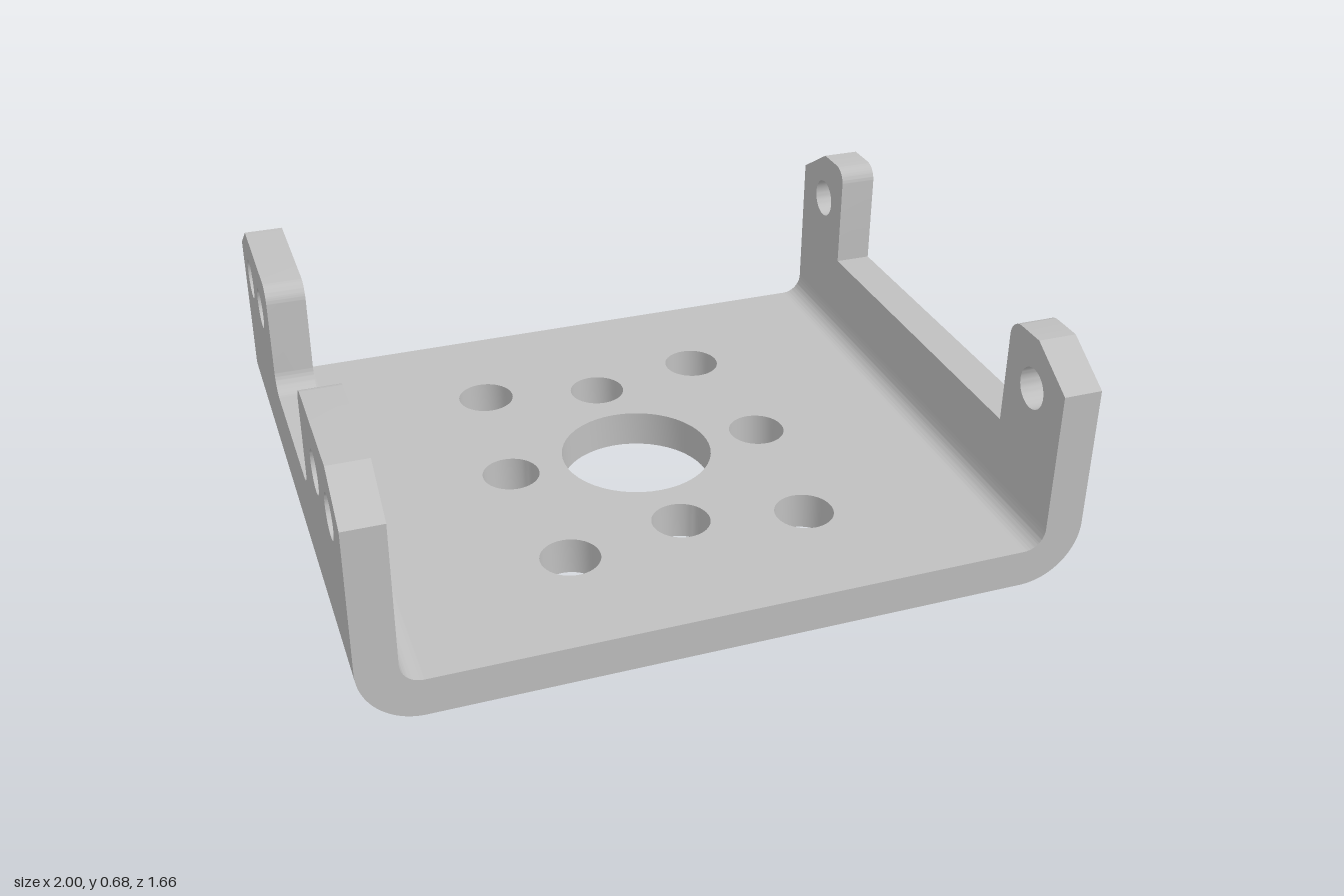
import * as THREE from 'three';
import { toCreasedNormals } from 'three/addons/utils/BufferGeometryUtils.js';

const T = 0.11;       // sheet thickness
const R = 0.17;       // outer bend radius
const D = 0.83;       // half depth
const TOP = 0.675;    // height of the tabs

export function createModel() {
  const group = new THREE.Group();
  group.name = 'mountingBracket';
  const metal = new THREE.MeshStandardMaterial({ color: 0xc0c0c0 });
  metal.name = 'grey metal';

  const extrude = (shape, depth) => toCreasedNormals(
    new THREE.ExtrudeGeometry(shape, { depth, bevelEnabled: false, curveSegments: 24 }), 0.35);
  const add = (name, geometry) => {
    const mesh = new THREE.Mesh(geometry, metal);
    mesh.name = name;
    group.add(mesh);
  };
  const drill = (shape, x, y, r) => {
    const hole = new THREE.Path();
    hole.absarc(x, y, r, 0, Math.PI * 2, true);
    shape.holes.push(hole);
  };

  // Floor plate with a large centre hole and a ring of eight small ones
  const w = 1 - R;
  const floor = new THREE.Shape();
  floor.moveTo(-w, -D).lineTo(w, -D).lineTo(w, D).lineTo(-w, D).closePath();
  drill(floor, 0, 0, 0.222);
  for (const s of [-1, 1]) {
    drill(floor, s * 0.386, 0, 0.083);
    drill(floor, 0, s * 0.386, 0.083);
    for (const t of [-1, 1]) drill(floor, s * 0.344, t * 0.455, 0.084);
  }
  add('floorPlate', extrude(floor, T).rotateX(Math.PI / 2).translate(0, T, 0));

  // Rounded bends joining floor and walls
  const bend = (name, cx, from, to) => {
    const s = new THREE.Shape();
    s.absarc(cx, R, R, from, to, false);
    s.absarc(cx, R, R - T, to, from, true);
    s.closePath();
    add(name, extrude(s, 2 * D).translate(0, 0, -D));
  };
  bend('rightBend', -w, Math.PI, Math.PI * 1.5);
  bend('leftBend', w, Math.PI * 1.5, Math.PI * 2);

  // Side wall: chamfered outer corners, notch of half width n, fillet f at its foot
  const wall = (name, x, n, foot, f, chamfer, holes) => {
    const r = 0.05, q = Math.PI / 2;
    const s = new THREE.Shape();
    s.moveTo(-D, R).lineTo(D, R).lineTo(D, 0.583).lineTo(chamfer, TOP);
    s.absarc(n + r, TOP - r, r, q, 2 * q, false);
    if (f > 0) {
      s.absarc(n - f, foot + f, f, 0, -q, true);
      s.absarc(-n + f, foot + f, f, -q, -2 * q, true);
    } else {
      s.lineTo(n, foot).lineTo(-n, foot);
    }
    s.absarc(-n - r, TOP - r, r, 0, q, false);
    s.lineTo(-chamfer, TOP).lineTo(-D, 0.583).closePath();
    for (const z of holes) for (const side of [-1, 1]) drill(s, side * z, 0.527, 0.059);
    add(name, extrude(s, T).rotateY(-Math.PI / 2).translate(x, 0, 0));
  };
  wall('rightWall', -1 + T, 0.275, 0.36, 0.055, 0.685, [0.468, 0.674]);
  wall('leftWall', 1, 0.54, 0.355, 0, 0.68, [0.674]);

  return group;
}
